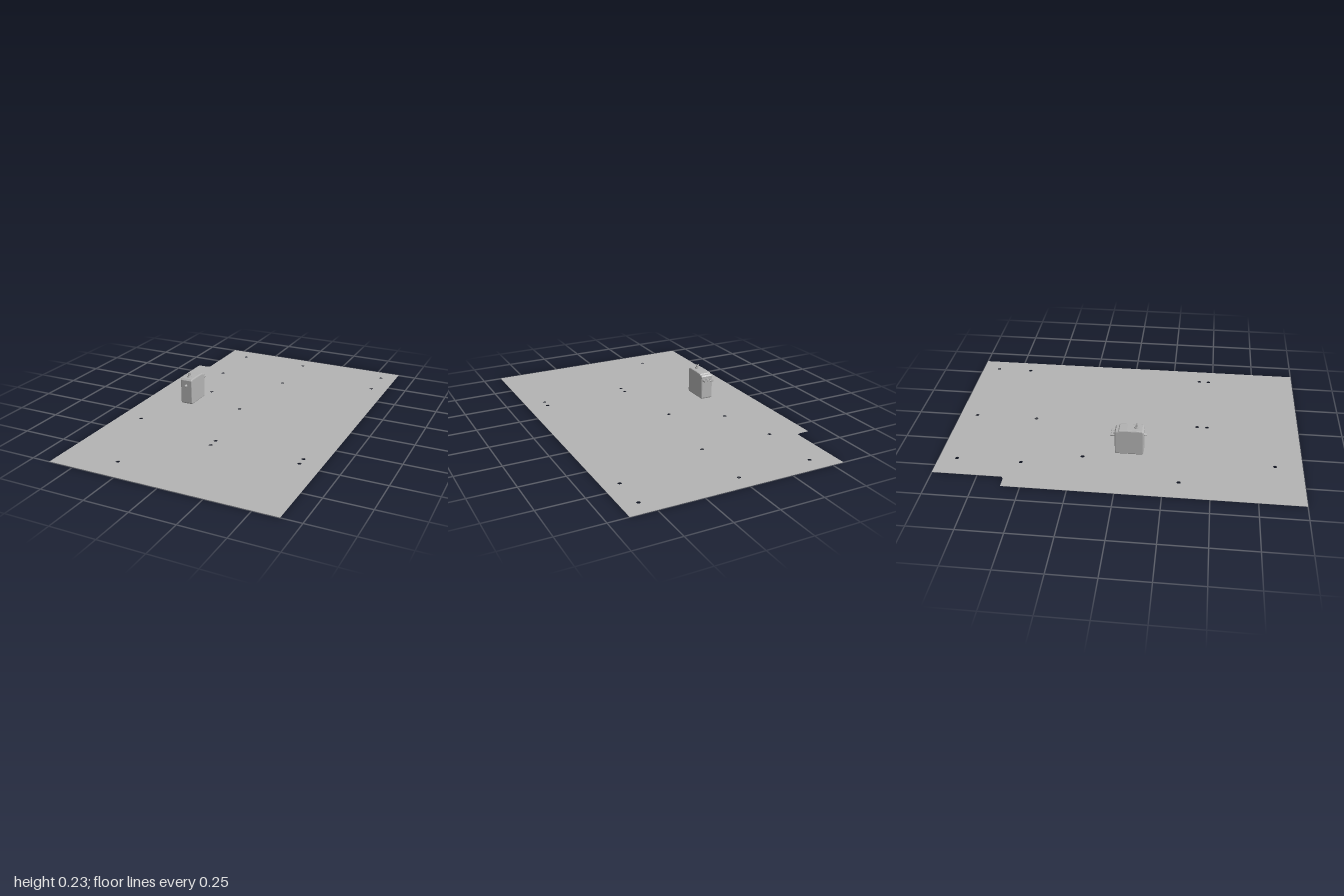
import * as THREE from 'three';

const grey = new THREE.MeshStandardMaterial({ color: 0xb4b4b4 });
grey.name = 'plain grey';

function add(parent, name, geometry, x = 0, y = 0, z = 0) {
  const mesh = new THREE.Mesh(geometry, grey);
  mesh.name = name;
  mesh.position.set(x, y, z);
  parent.add(mesh);
  return mesh;
}

// Thin floor sheet with a notched corner and round holes
function sheetGeometry() {
  const outline = [
    [-0.645, 1], [0.64, 1], [0.64, -1], [-0.567, -1],
    [-0.567, -0.612], [-0.59, -0.605], [-0.645, -0.605],
  ];
  const shape = new THREE.Shape(outline.map(([x, z]) => new THREE.Vector2(x, -z)));
  const holes = [
    [-0.43, -0.9], [0, -0.9], [0.548, -0.9], [0.548, -0.69],
    [-0.43, -0.54], [0, -0.54], [-0.343, -0.21], [-0.065, 0.037 * -1],
    [-0.518, 0.333], [0.01, 0.415], [0.01, 0.473],
    [0.522, 0.415], [0.522, 0.473], [-0.328, 0.85],
  ];
  for (const [x, z] of holes) {
    const hole = new THREE.Path();
    hole.absarc(x, -z, 0.011, 0, Math.PI * 2, true);
    shape.holes.push(hole);
  }
  const geometry = new THREE.ExtrudeGeometry(shape, { depth: 0.002, bevelEnabled: false, curveSegments: 12 });
  return geometry.rotateX(-Math.PI / 2);
}

// Boxy housing: side profile (z, y) extruded across x with softened edges
function housingGeometry() {
  const bevel = 0.006;
  const width = 0.074;
  const profile = [
    [-0.02, 0.058], [0.122, 0.058], [0.125, 0.062], [0.125, 0.194],
    [0.119, 0.2], [0.04, 0.2], [0.0, 0.198], [-0.005, 0.193], [-0.018, 0.192], [-0.021, 0.188], [-0.021, 0.06],
  ];
  const shape = new THREE.Shape(profile.map(([z, y]) => new THREE.Vector2(z, y)));
  const geometry = new THREE.ExtrudeGeometry(shape, {
    depth: width - 2 * bevel, bevelThickness: bevel, bevelSize: bevel, bevelSegments: 2,
  });
  geometry.translate(0, 0, -(width - 2 * bevel) / 2);
  return geometry.rotateY(-Math.PI / 2);
}

export function createModel() {
  const model = new THREE.Group();
  model.name = 'floorSheetWithUnit';
  add(model, 'floorSheet', sheetGeometry());

  const unit = new THREE.Group();
  unit.name = 'wallUnit';
  unit.position.x = -0.327;
  model.add(unit);
  add(unit, 'housing', housingGeometry());

  // Top valve: collar, stem and two small prongs
  add(unit, 'topCollar', new THREE.CylinderGeometry(0.012, 0.014, 0.008, 20), 0, 0.21, 0.09);
  add(unit, 'topStem', new THREE.CylinderGeometry(0.007, 0.008, 0.012, 16), 0, 0.217, 0.09);
  for (const side of [-1, 1]) {
    add(unit, 'topProng', new THREE.BoxGeometry(0.004, 0.01, 0.008), side * 0.006, 0.226, 0.09);
  }

  // Front spout
  const spout = add(unit, 'frontSpout', new THREE.CylinderGeometry(0.005, 0.008, 0.018, 16), 0, 0.165, 0.138);
  spout.rotation.x = Math.PI / 2;

  // Rear fittings: a cross bar carried by a stub and two end caps
  const stub = add(unit, 'rearStub', new THREE.CylinderGeometry(0.008, 0.01, 0.024, 16), 0, 0.168, -0.037);
  stub.rotation.x = -Math.PI / 2;
  const bar = add(unit, 'rearBar', new THREE.CylinderGeometry(0.005, 0.005, 0.05, 12), 0, 0.168, -0.044);
  bar.rotation.z = Math.PI / 2;
  for (const side of [-1, 1]) {
    const cap = add(unit, 'rearCap', new THREE.CylinderGeometry(0.007, 0.007, 0.028, 12), side * 0.024, 0.168, -0.039);
    cap.rotation.x = Math.PI / 2;
  }
  return model;
}
